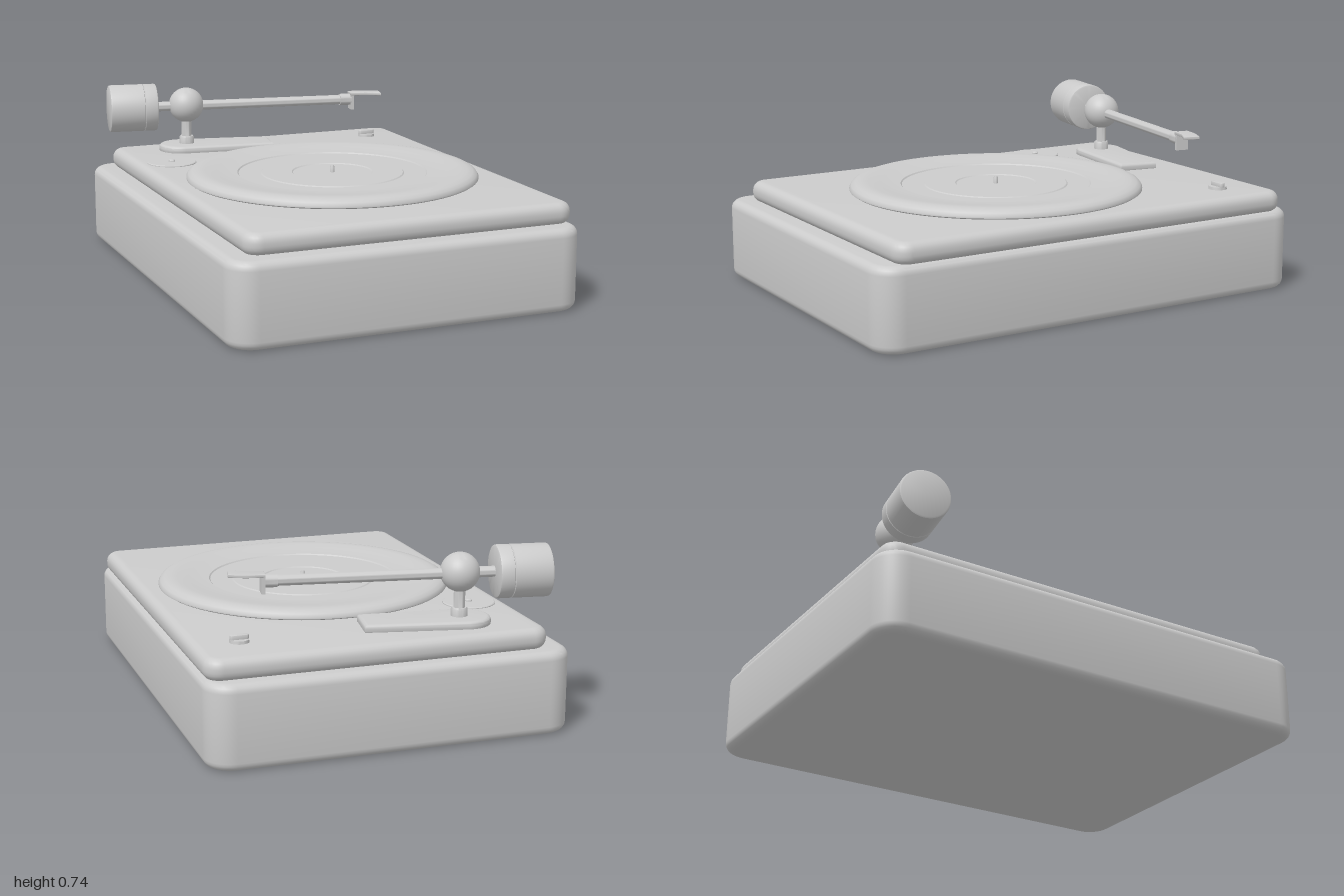
import * as THREE from 'three';
import { toCreasedNormals } from 'three/addons/utils/BufferGeometryUtils.js';

const grey = new THREE.MeshStandardMaterial({ color: 0xcccccc });

function add(parent, name, geometry, x = 0, y = 0, z = 0) {
  const mesh = new THREE.Mesh(toCreasedNormals(geometry, 0.6), grey);
  mesh.name = name;
  mesh.position.set(x, y, z);
  parent.add(mesh);
  return mesh;
}

// Rounded rectangle in plan (x, z)
function roundedRect(x0, x1, z0, z1, r) {
  const s = new THREE.Shape();
  s.absarc(x1 - r, z1 - r, r, 0, Math.PI / 2);
  s.absarc(x0 + r, z1 - r, r, Math.PI / 2, Math.PI);
  s.absarc(x0 + r, z0 + r, r, Math.PI, Math.PI * 1.5);
  s.absarc(x1 - r, z0 + r, r, Math.PI * 1.5, Math.PI * 2);
  s.closePath();
  return s;
}

// Horizontal slab with rounded edges, from y0 to y1, outline given in (x, z)
function slab(shape, y0, y1, bevel, curveSegments = 6) {
  const g = new THREE.ExtrudeGeometry(shape, {
    depth: y1 - y0 - 2 * bevel, bevelEnabled: bevel > 0, bevelThickness: bevel,
    bevelSize: bevel, bevelOffset: -bevel, bevelSegments: 5, curveSegments,
  });
  return g.rotateX(Math.PI / 2).translate(0, y1 - bevel, 0);
}

function lathe(points, segments = 48) {
  return new THREE.LatheGeometry(points.map(([r, y]) => new THREE.Vector2(r, y)), segments);
}

// Cylinder lying along x, from x0 to x1
function rod(r, x0, x1) {
  return new THREE.CylinderGeometry(r, r, x1 - x0, 24).rotateZ(-Math.PI / 2).translate((x0 + x1) / 2, 0, 0);
}

export function createModel() {
  const model = new THREE.Group();
  model.name = 'turntable';

  // Body
  add(model, 'base', slab(roundedRect(-0.755, 0.755, -1, 1, 0.11), 0, 0.345, 0.035));
  add(model, 'deck', slab(roundedRect(-0.668, 0.748, -0.945, 0.92, 0.07), 0.34, 0.43, 0.038));

  // Dished platter with concentric steps
  add(model, 'platter', lathe([
    [0.615, 0.425], [0.63, 0.435], [0.63, 0.442], [0.622, 0.455], [0.605, 0.465], [0.58, 0.47],
    [0.55, 0.469], [0.5, 0.462], [0.45, 0.456], [0.41, 0.454], [0.405, 0.449],
    [0.31, 0.449], [0.305, 0.453], [0.175, 0.453], [0.17, 0.449], [0, 0.449],
  ], 96), 0.04, 0, 0.07);
  add(model, 'spindle', lathe([[0.01, 0.44], [0.01, 0.472], [0.007, 0.479], [0, 0.481]], 16), 0.04, 0, 0.07);

  // Adapter disc with its pin
  add(model, 'adapterDisc', lathe([[0.11, 0.425], [0.11, 0.433], [0.106, 0.436], [0, 0.436]]), -0.51, 0, -0.48);
  add(model, 'adapterPin', lathe([[0.015, 0.43], [0.015, 0.44], [0.009, 0.445], [0, 0.446]], 16), -0.51, 0, -0.48);

  // Selector knob
  const knob = new THREE.Group();
  knob.name = 'selectorKnob';
  knob.position.set(0.56, 0.43, -0.73);
  model.add(knob);
  add(knob, 'knobDisc', new THREE.CylinderGeometry(0.038, 0.04, 0.014, 32), 0, 0.005, 0);
  add(knob, 'knobGrip', slab(roundedRect(-0.038, 0.038, -0.012, 0.012, 0.011), 0, 0.03, 0.003));

  // Tonearm assembly, turned about its pivot
  const arm = new THREE.Group();
  arm.name = 'tonearm';
  arm.position.set(-0.35, 0, -0.75);
  arm.rotation.y = -THREE.MathUtils.degToRad(9.2);
  model.add(arm);

  // Plate under the pivot: round behind, square ahead
  const plate = new THREE.Shape();
  plate.moveTo(0.4, -0.088);
  plate.lineTo(0.4, 0.088);
  plate.lineTo(-0.02, 0.108);
  plate.absarc(-0.02, 0, 0.108, Math.PI / 2, Math.PI * 1.5);
  plate.closePath();
  add(arm, 'armPlate', slab(plate, 0.42, 0.46, 0.015, 16));

  add(arm, 'pivotPost', lathe([
    [0.034, 0.45], [0.034, 0.488], [0.03, 0.495], [0.023, 0.495], [0.023, 0.6],
  ], 24));
  add(arm, 'pivotBall', new THREE.SphereGeometry(0.08, 32, 20), 0, 0.64, 0);
  add(arm, 'armTube', rod(0.022, -0.2, 0.75), 0, 0.636, 0);
  add(arm, 'armCollar', rod(0.027, 0.735, 0.79), 0, 0.636, 0);

  // Counterweight with a shallow seam
  const weight = lathe([
    [0, -0.36], [0.1, -0.36], [0.106, -0.357], [0.108, -0.35], [0.108, -0.204], [0.105, -0.202],
    [0.105, -0.2], [0.108, -0.198], [0.108, -0.15], [0.106, -0.144], [0.1, -0.141], [0, -0.141],
  ]).rotateZ(-Math.PI / 2);
  add(arm, 'counterweight', weight, 0, 0.635, 0);

  // Headshell: cranked thin plate over a small cartridge bracket
  const shell = new THREE.Shape([
    [0.785, -0.036], [0.86, -0.034], [0.93, -0.015], [0.925, 0.056], [0.856, 0.03], [0.785, 0.026],
  ].map(([x, z]) => new THREE.Vector2(x, z)));
  add(arm, 'headshell', slab(shell, 0.657, 0.67, 0.002));
  add(arm, 'cartridgeBracket', new THREE.BoxGeometry(0.015, 0.075, 0.055), 0.793, 0.627, -0.004);

  return model;
}
